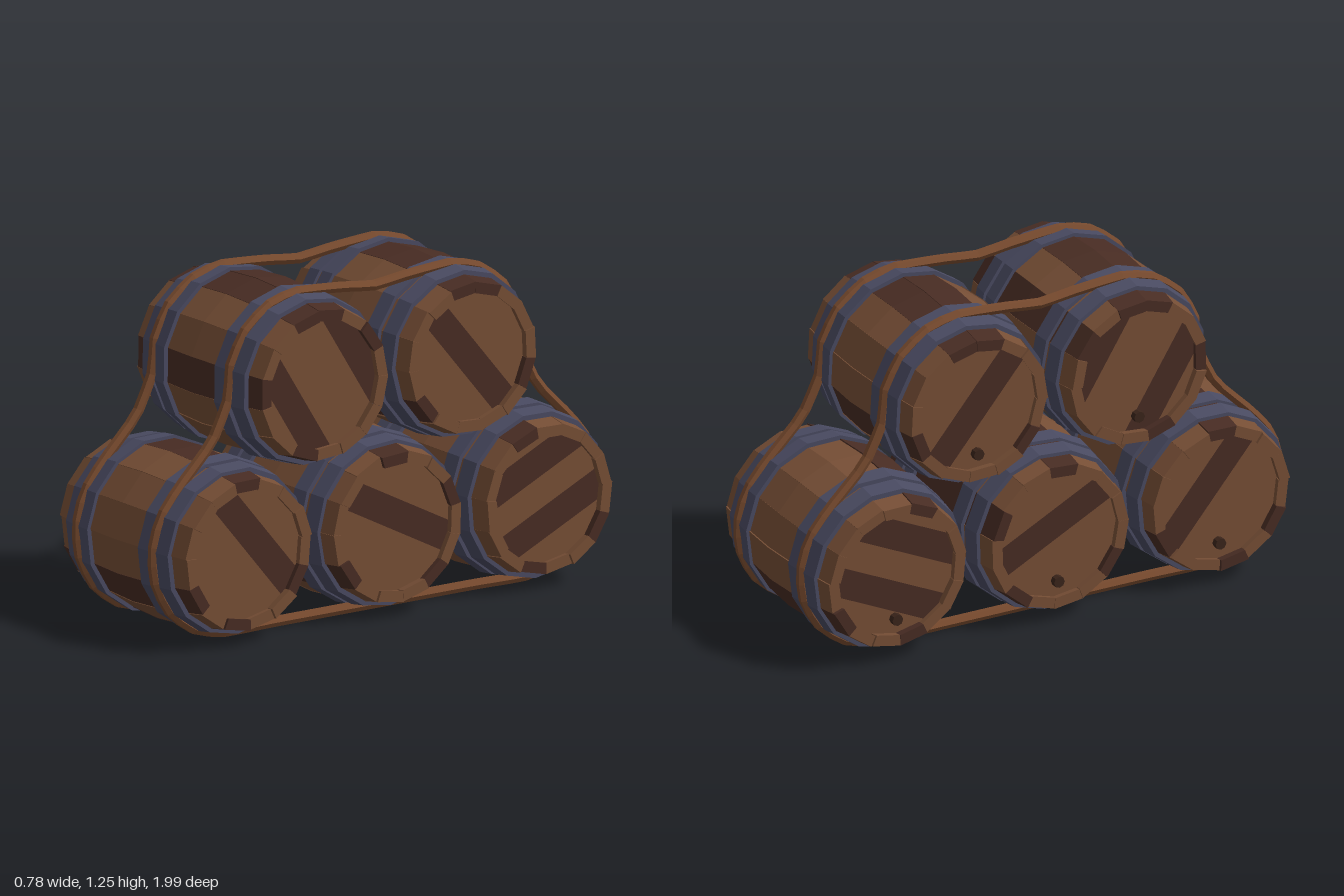
import * as THREE from 'three';

const material = (name, color) => {
  const m = new THREE.MeshStandardMaterial({ color, flatShading: true });
  m.name = name;
  return m;
};
const SIDES = 15, STEP = (Math.PI * 2) / SIDES, RAD = Math.PI / 180;

// Small seeded generator for uneven planks
let seed = 7;
const jitter = (amount) => {
  seed = (seed * 16807) % 2147483647;
  return (seed / 2147483647 * 2 - 1) * amount;
};

// Barrel profile: outer radius at a distance along the axis
const bulge = (x) => 0.322 - 0.28 * x * x;

// One curved plank: a four-cornered section swept along x
function staveGeometry(start) {
  const lift = jitter(0.003), gap = 0.001;
  const xs = [-0.385 + jitter(0.007), -0.2, 0, 0.2, 0.385 + jitter(0.007)];
  const pos = [], idx = [];
  const a0 = start + gap, a1 = start + STEP - gap;
  for (const x of xs) {
    const r = bulge(x) + lift;
    for (const [a, q] of [[a0, r], [a1, r], [a1, r - 0.042], [a0, r - 0.042]]) {
      pos.push(x, q * Math.sin(a), q * Math.cos(a));
    }
  }
  for (let i = 0; i < xs.length - 1; i++) {
    for (let k = 0; k < 4; k++) {
      const p = i * 4 + k, q = i * 4 + (k + 1) % 4;
      idx.push(p, p + 4, q + 4, p, q + 4, q);
    }
  }
  const e = (xs.length - 1) * 4;
  idx.push(0, 1, 2, 0, 2, 3, e, e + 2, e + 1, e, e + 3, e + 2);
  const g = new THREE.BufferGeometry();
  g.setAttribute('position', new THREE.Float32BufferAttribute(pos, 3));
  g.setIndex(idx);
  g.computeVertexNormals();
  return g;
}

// A strip of the round head between two offsets, running through to the other head
function headPlankGeometry(low, high, angle) {
  const R = 0.255, pts = [];
  const from = Math.asin(low / R), to = Math.asin(high / R);
  for (let i = 0; i <= 5; i++) {
    const a = from + (to - from) * i / 5;
    pts.push(new THREE.Vector2(R * Math.cos(a), R * Math.sin(a)));
  }
  const left = pts.map((p) => new THREE.Vector2(-p.x, p.y)).reverse();
  const outline = [...pts, ...left].filter((p, i, all) => i === 0 || p.distanceTo(all[i - 1]) > 1e-4);
  const g = new THREE.ExtrudeGeometry(new THREE.Shape(outline), { depth: 0.71, bevelEnabled: false });
  g.translate(0, 0, -0.355);
  g.rotateZ(-angle * RAD);
  g.rotateY(Math.PI / 2);
  return g;
}

// Metal band between two distances along the axis, matching the facets of the staves
function hoopGeometry(side, near, far, phase) {
  const rNear = bulge(near) + 0.013, rFar = bulge(far) + 0.014;
  let profile = [[rNear - 0.04, near], [rNear, near], [rFar, far], [rFar - 0.04, far]];
  if (side < 0) profile = profile.map(([r, x]) => [r, -x]).reverse();
  const g = new THREE.LatheGeometry(profile.map(([r, x]) => new THREE.Vector2(r, x)), SIDES, -phase);
  g.rotateZ(-Math.PI / 2);
  return g;
}

export function createModel() {
  const model = new THREE.Group();
  model.name = 'barrelStack';
  const lightWood = material('lightWood', 0x764e35);
  const darkWood = material('darkWood', 0x482c23);
  const metal = material('blueMetal', 0x494a61);
  const ropeFibre = material('rope', 0x774a2e);
  const bungWood = material('bungWood', 0x3a241a);

  const add = (parent, name, geometry, mat) => {
    const mesh = new THREE.Mesh(geometry, mat);
    mesh.name = name;
    parent.add(mesh);
    return mesh;
  };

  // phase and angle in degrees; staves and planks list the dark pieces
  const barrels = [
    { name: 'topFrontBarrel', z: 0.33, y: 0.915, phase: -11, staves: [0, 3, 4, 6, 12], angle: 58, shift: -0.03, planks: [1, 4] },
    { name: 'topBackBarrel', z: -0.33, y: 0.915, phase: -3, staves: [3, 4, 8, 13], angle: 50, shift: 0, planks: [2] },
    { name: 'bottomFrontBarrel', z: 0.665, y: 0.335, phase: 5, staves: [3, 8, 11, 13], angle: 50, shift: 0.067, planks: [2] },
    { name: 'bottomMiddleBarrel', z: 0, y: 0.335, phase: 2, staves: [3, 6, 9, 13], angle: 27, shift: 0.04, planks: [2] },
    { name: 'bottomBackBarrel', z: -0.665, y: 0.335, phase: 7, staves: [2, 8, 11], angle: -25, shift: 0.025, planks: [1, 3] },
  ];

  for (const b of barrels) {
    const barrel = new THREE.Group();
    barrel.name = b.name;
    barrel.position.set(0, b.y, b.z);
    model.add(barrel);
    const phase = b.phase * RAD;

    for (let i = 0; i < SIDES; i++) {
      add(barrel, 'stave', staveGeometry(phase + i * STEP), b.staves.includes(i) ? darkWood : lightWood);
    }
    for (let i = 0; i < 5; i++) {
      const low = i === 0 ? -0.255 : b.shift + (i - 2.5) * 0.11;
      const high = i === 4 ? 0.255 : b.shift + (i - 1.5) * 0.11;
      add(barrel, 'headPlank', headPlankGeometry(low, high, b.angle), b.planks.includes(i) ? darkWood : lightWood);
    }
    for (const side of [-1, 1]) {
      add(barrel, 'innerHoop', hoopGeometry(side, 0.155, 0.222, phase), metal);
      add(barrel, 'outerHoop', hoopGeometry(side, 0.244, 0.312, phase), metal);
    }

    // Bung low on one head
    const bung = add(barrel, 'bung', new THREE.CylinderGeometry(0.022, 0.022, 0.04, 8), bungWood);
    bung.rotation.z = Math.PI / 2;
    bung.position.set(-0.36, -0.18, 0);
  }

  // Ropes: wrapped round the outer barrels, mirrored front to back
  const half = [];
  const arc = (z, y, from, to, n) => {
    for (let i = 0; i <= n; i++) {
      const a = (from + (to - from) * i / n) * RAD;
      half.push([z + 0.318 * Math.cos(a), y + 0.318 * Math.sin(a)]);
    }
  };
  half.push([0.2, 0.02], [0.45, 0.02]);
  arc(0.665, 0.335, -90, 50, 6);
  half.push([0.72, 0.73]);
  arc(0.33, 0.915, -6, 86, 4);
  half.push([0.15, 1.22]);
  const loop = [...half, [0, 1.203], ...half.map(([z, y]) => [-z, y]).reverse()];
  for (const x of [-0.232, 0.232]) {
    const points = loop.map(([z, y]) => new THREE.Vector3(x, y, z));
    const curve = new THREE.CatmullRomCurve3(points, true, 'catmullrom', 0.2);
    add(model, 'rope', new THREE.TubeGeometry(curve, 80, 0.02, 6, true), ropeFibre);
  }
  return model;
}
